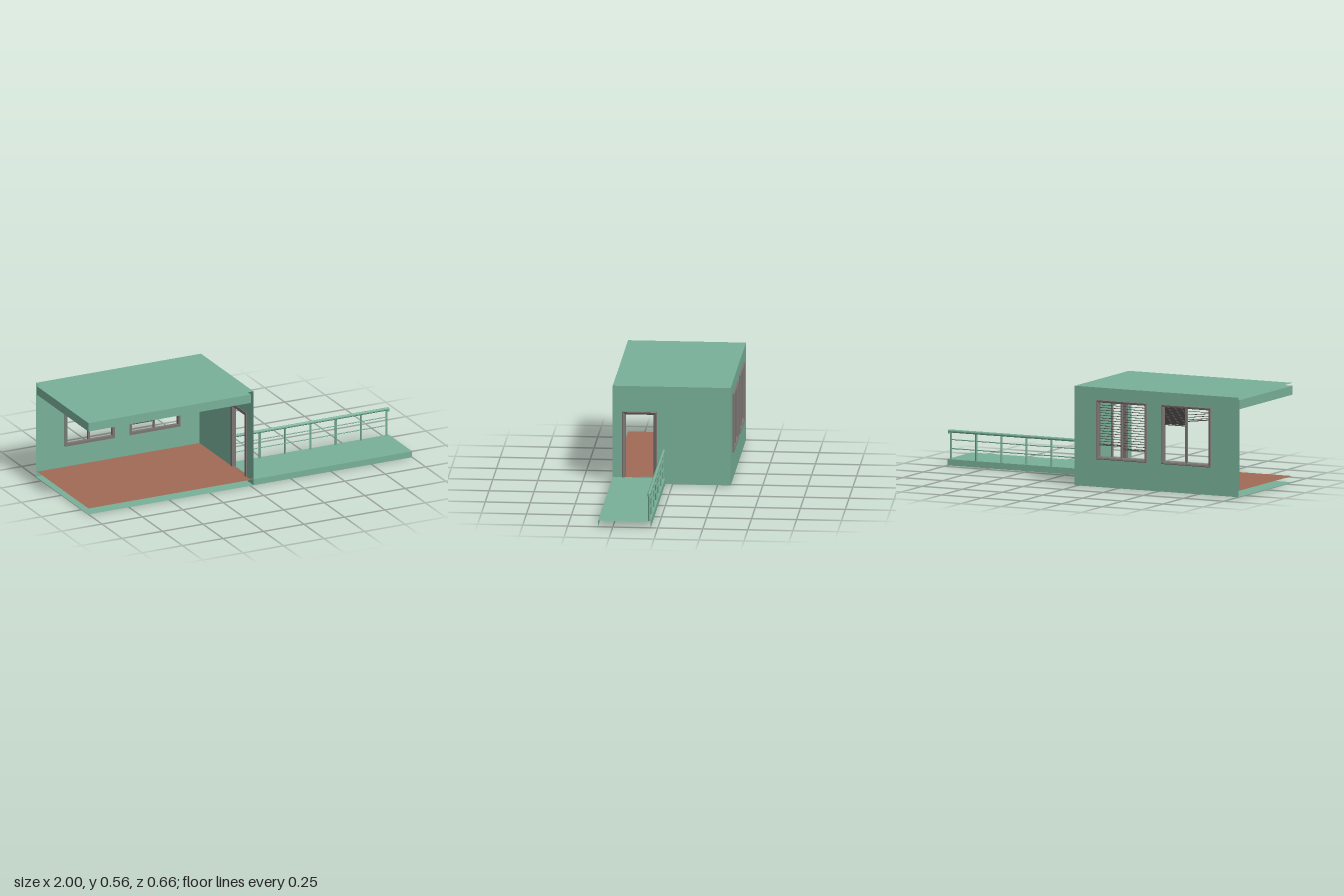
import * as THREE from 'three';

const paint = (color) => new THREE.MeshStandardMaterial({ color, side: THREE.DoubleSide, flatShading: true });

export function createModel() {
  const model = new THREE.Group();
  const green = paint(0x78b098), red = paint(0xa06a55), grey = paint(0x7c7573), dark = paint(0x5c5857);

  const add = (name, geometry, material, parent = model) => {
    const mesh = new THREE.Mesh(geometry, material);
    mesh.name = name;
    parent.add(mesh);
    return mesh;
  };
  const box = (name, material, x0, x1, y0, y1, z0, z1, parent) => {
    const mesh = add(name, new THREE.BoxGeometry(x1 - x0, y1 - y0, z1 - z0), material, parent);
    mesh.position.set((x0 + x1) / 2, (y0 + y1) / 2, (z0 + z1) / 2);
    return mesh;
  };
  const rect = (path, x0, x1, y0, y1) =>
    path.moveTo(x0, y0).lineTo(x1, y0).lineTo(x1, y1).lineTo(x0, y1).closePath();
  // Flat sheet with rectangular holes, drawn in its own xy plane
  const sheet = (name, material, r, holes = []) => {
    const shape = rect(new THREE.Shape(), ...r);
    for (const h of holes) shape.holes.push(rect(new THREE.Path(), ...h));
    return add(name, new THREE.ShapeGeometry(shape), material);
  };
  const level = (name, material, x0, x1, z0, z1, y) => {
    const mesh = sheet(name, material, [x0, x1, -z1, -z0]);
    mesh.rotation.x = -Math.PI / 2;
    mesh.position.y = y;
  };
  // Mitred frame: a profile of [inset, depth] points swept round a rectangle
  const frame = (x0, x1, y0, y1, profile, closed) => {
    const corner = (k, [i, d]) => [
      [x0 + i, closed ? y0 + i : y0, d], [x0 + i, y1 - i, d],
      [x1 - i, y1 - i, d], [x1 - i, closed ? y0 + i : y0, d]][k % 4];
    const pos = [];
    for (let k = 0; k < (closed ? 4 : 3); k++) {
      for (let p = 0; p < profile.length - 1; p++) {
        const a = corner(k, profile[p]), b = corner(k + 1, profile[p]);
        const c = corner(k + 1, profile[p + 1]), d = corner(k, profile[p + 1]);
        pos.push(...a, ...b, ...c, ...a, ...c, ...d);
      }
    }
    const geometry = new THREE.BufferGeometry();
    geometry.setAttribute('position', new THREE.Float32BufferAttribute(pos, 3));
    geometry.computeVertexNormals();
    return geometry;
  };

  // Main dimensions
  const L = -1, R = 0.02, F = 0.33, B = -0.325, top = 0.556, deck = 0.035, ceil = 0.49;
  const gap = 0.016;
  const windows = [[-0.83, -0.52], [-0.43, -0.115]], sill = 0.155, head = 0.488;
  const doorZ = [0.085, 0.278], doorTop = 0.413;

  // Outer shell, open at the front and at the far end
  const holes = windows.map(([a, b]) => [a + 0.008, b - 0.008, sill + 0.008, head - 0.008]);
  sheet('backWallOuter', green, [L, R, 0, top], holes).position.z = B;
  sheet('backWallInner', green, [L, R - gap, deck, ceil], holes).position.z = B + gap;
  const doorHole = [[-doorZ[1] + 0.01, -doorZ[0] - 0.01, deck, doorTop - 0.01]];
  for (const [name, x, z0, y0, y1] of [
    ['sideWallOuter', R, B, 0, top], ['sideWallInner', R - gap, B + gap, deck, ceil]]) {
    const bottomGap = name === 'sideWallOuter' ? doorHole : [[doorHole[0][0], doorHole[0][1], deck + 0.001, doorHole[0][3]]];
    const wall = sheet(name, green, [-F, -z0, y0, y1], bottomGap);
    wall.rotation.y = Math.PI / 2;
    wall.position.x = x;
  }
  level('roof', green, L, R, B, F, top);
  level('base', green, L, R, B, F, 0);
  level('floor', red, L, R - 0.001, B + gap, F, deck);
  box('ceilingSlab', green, L, R - gap, ceil, 0.54, B + gap, F);

  // Door frame
  const doorFrame = add('doorFrame', frame(-doorZ[1], -doorZ[0], deck, doorTop,
    [[0, -0.02], [0, 0.008], [0.004, 0.012], [0.015, 0.006], [0.019, 0], [0.019, -0.02], [0, -0.02]], false), grey);
  doorFrame.rotation.y = Math.PI / 2;
  doorFrame.position.x = R;

  // Blind: a stack of tilted slats hanging from the head
  const blind = (parent, x0, x1, y0, y1, pitch, tilt, skew = 0) => {
    const g = new THREE.Group();
    g.name = 'blind';
    parent.add(g);
    const count = Math.round((y1 - y0) / pitch);
    for (let i = 0; i <= count; i++) {
      const y = y1 - i * pitch;
      const slat = box('slat', dark, x0, x1, y - 0.0008, y + 0.0008, B + 0.008, B + 0.02, g);
      slat.rotation.x = tilt;
      if (i > count - 3) slat.rotation.z = skew;
    }
    const rail = box('bottomRail', dark, x0, x1, y0 - 0.008, y0 - 0.003, B + 0.009, B + 0.017, g);
    rail.rotation.z = skew;
    for (const t of [0.2, 0.8]) {
      const x = x0 + (x1 - x0) * t;
      box('cord', dark, x - 0.0005, x + 0.0005, y0, y1, B + 0.0135, B + 0.0145, g);
    }
  };

  // Windows with frames, centre bars and blinds
  windows.forEach(([a, b], n) => {
    const g = new THREE.Group();
    g.name = 'window';
    model.add(g);
    const mid = (a + b) / 2;
    const f = add('windowFrame', frame(-b, -a, sill, head,
      [[0, -0.02], [0, 0.006], [0.003, 0.009], [0.011, 0.007], [0.015, 0.001], [0.015, -0.02], [0, -0.02]], true), grey, g);
    f.rotation.y = Math.PI;
    f.position.z = B;
    box('centreBar', grey, mid - 0.006, mid + 0.006, sill + 0.012, head - 0.012, B - 0.004, B + 0.008, g);
    const l = [a + 0.016, mid - 0.006], r = [mid + 0.006, b - 0.016];
    if (n === 0) {
      blind(g, ...l, 0.415, 0.472, 0.0135, 0.25, -0.12);
      blind(g, ...r, 0.38, 0.472, 0.008, 1.2);
    } else {
      blind(g, ...l, 0.222, 0.472, 0.0147, 0.3);
      blind(g, ...r, 0.24, 0.472, 0.0145, 0.3);
    }
  });

  // Walkway: a deck with two side skirts, hollow beneath and open at the end
  const walkBack = 0.038;
  level('walkwayDeck', green, R, 1, walkBack, F, deck);
  for (const z of [walkBack, F]) sheet('walkwaySkirt', green, [R, 1, 0, deck]).position.z = z;

  // Railing along the back of the walkway
  const railing = new THREE.Group();
  railing.name = 'railing';
  model.add(railing);
  const railZ = 0.047;
  for (let i = 0; i < 7; i++) {
    const x = 0.042 + i * 0.1565;
    add('post', new THREE.CylinderGeometry(0.006, 0.006, 0.155, 10), green, railing)
      .position.set(x, deck + 0.0775, railZ);
  }
  for (const y of [0.095, 0.145]) {
    const bar = add('rail', new THREE.CylinderGeometry(0.003, 0.003, 0.939, 8), green, railing);
    bar.rotation.z = Math.PI / 2;
    bar.position.set(0.5115, y, railZ);
  }
  const handrail = add('handrail', new THREE.CylinderGeometry(0.009, 0.009, 0.962, 12), green, railing);
  handrail.rotation.z = Math.PI / 2;
  handrail.position.set(0.511, 0.192, railZ);
  // Turned-down handrail ends
  for (const [x, s] of [[0.03, 1], [0.992, -1]]) {
    add('handrailEnd', new THREE.SphereGeometry(0.009, 12, 8), green, railing).position.set(x + s * 0.001, 0.192, railZ);
    add('handrailTip', new THREE.CylinderGeometry(0.009, 0.009, 0.014, 12), green, railing)
      .position.set(x + s * 0.001, 0.185, railZ);
  }

  // Line up the outer limits with the frame of reference
  model.children.forEach((c) => { c.position.z += 0.002; });
  return model;
}
